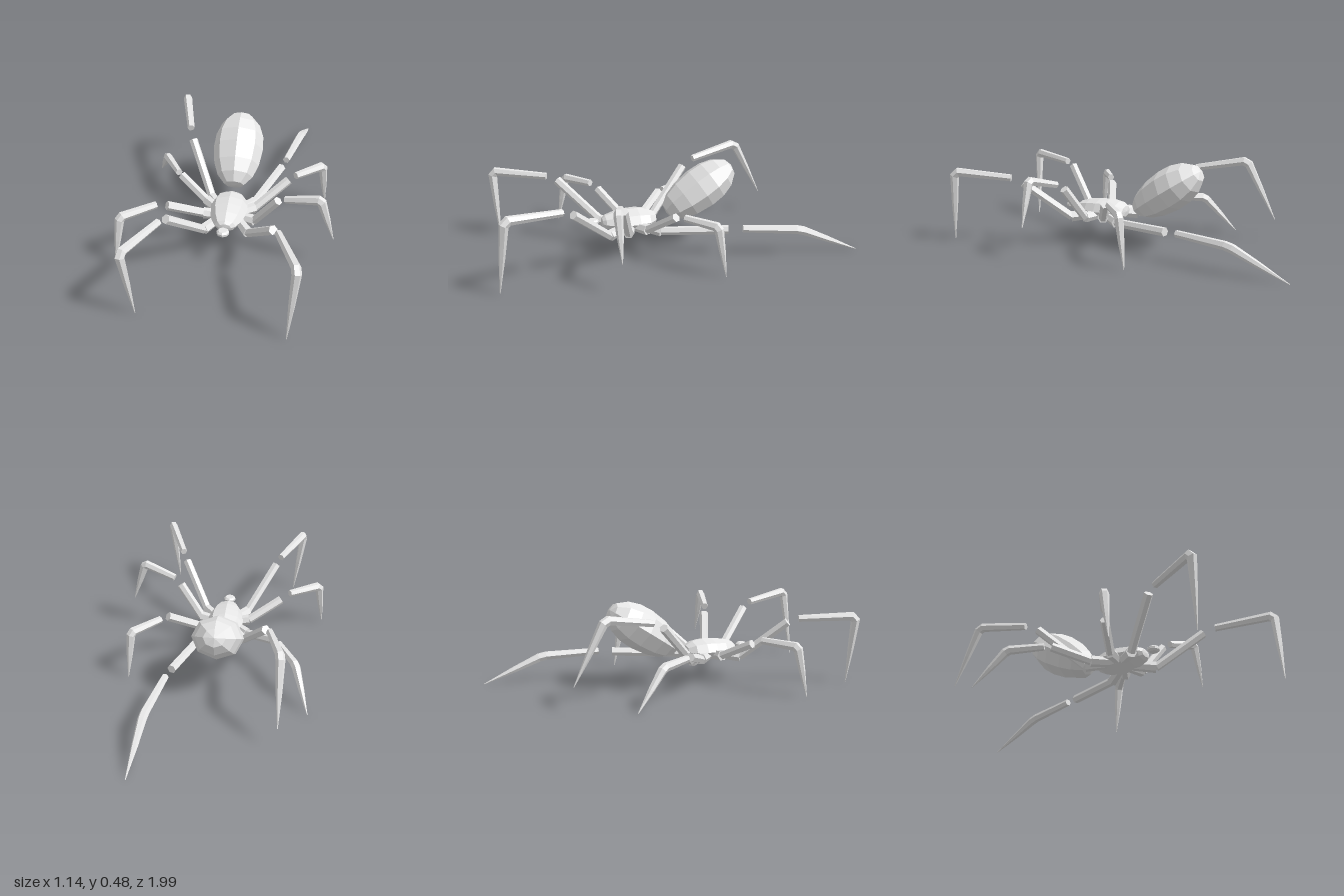
import * as THREE from 'three';

const grey = new THREE.MeshStandardMaterial({ color: 0xe7e7e7 });
grey.name = 'paleGrey';
grey.flatShading = true;

// Flat-faced tube through points, with one radius per point and mitred bends
function limb(p, radii, sides = 6) {
  const last = p.length - 1;
  const across = new THREE.Vector3(0, 1, 0).cross(p[last].clone().sub(p[0])).normalize();
  const dir = (i) => p[i + 1].clone().sub(p[i]).normalize();
  const pos = [];
  const index = [];
  p.forEach((c, i) => {
    const before = dir(Math.max(i - 1, 0));
    const after = dir(Math.min(i, last - 1));
    const t = before.clone().add(after).normalize();
    const mitre = Math.min(1 / t.dot(before), 1.4);
    const n = t.clone().cross(across).normalize();
    const s = n.clone().cross(t);
    for (let j = 0; j < sides; j++) {
      const a = (j / sides) * Math.PI * 2;
      const v = c.clone()
        .addScaledVector(s, Math.cos(a) * radii[i])
        .addScaledVector(n, Math.sin(a) * radii[i] * mitre);
      pos.push(v.x, v.y, v.z);
      if (i < last) {
        const k = (j + 1) % sides;
        const q = i * sides;
        index.push(q + j, q + k, q + sides + k, q + j, q + sides + k, q + sides + j);
      }
    }
  });
  // End caps
  for (let j = 1; j < sides - 1; j++) {
    const e = last * sides;
    index.push(0, j + 1, j, e, e + j, e + j + 1);
  }
  const g = new THREE.BufferGeometry();
  g.setAttribute('position', new THREE.Float32BufferAttribute(pos, 3));
  g.setIndex(index);
  const flat = g.toNonIndexed();
  flat.computeVertexNormals();
  return flat;
}

function lathe(profile, sides) {
  return new THREE.LatheGeometry(profile.map(([r, y]) => new THREE.Vector2(r, y)), sides);
}

function add(parent, name, geometry) {
  const mesh = new THREE.Mesh(geometry, grey);
  mesh.name = name;
  parent.add(mesh);
  return mesh;
}

// Each leg: hip, upper start, upper end, lower start, knee, tip
const legs = {
  leftFrontLeg: [[.05, .15, .26], [.12, .14, .36], [.27, .34, .58], [.30, .37, .64], [.415, .40, .945], [.38, 0, .985]],
  leftSecondLeg: [[.05, .15, .23], [.14, .15, .26], [.27, .33, .315], [.31, .36, .34], [.495, .41, .395], [.57, .17, .395]],
  leftThirdLeg: [[.05, .15, .20], [.13, .155, .15], [.305, .28, .04], [.34, .285, 0], [.485, .275, -.135], [.507, 0, -.175]],
  leftRearLeg: [[.05, .15, .17], [.12, .135, .07], [.24, .15, -.28], [.262, .155, -.355], [.325, .14, -.67], [.36, 0, -1]],
  rightFrontLeg: [[-.05, .15, .26], [-.12, .14, .36], [-.275, .35, .575], [-.30, .37, .63], [-.43, .385, .92], [-.38, 0, .90]],
  rightSecondLeg: [[-.05, .15, .23], [-.14, .16, .24], [-.32, .255, .33], [-.37, .28, .365], [-.54, .27, .485], [-.57, 0, .53]],
  rightThirdLeg: [[-.05, .15, .20], [-.14, .15, .11], [-.305, .21, -.03], [-.33, .21, -.06], [-.43, .20, -.235], [-.508, 0, -.405]],
  rightRearLeg: [[-.05, .15, .17], [-.12, .14, .06], [-.26, .37, -.165], [-.285, .405, -.235], [-.355, .455, -.52], [-.36, .13, -.69]],
};

export function createModel() {
  const model = new THREE.Group();
  model.name = 'spider';

  // Tilted egg-shaped abdomen
  const abdomen = add(model, 'abdomen', lathe([
    [0, 0], [.055, .008], [.1, .06], [.128, .135], [.142, .235],
    [.136, .315], [.11, .385], [.06, .44], [0, .455],
  ], 8));
  abdomen.scale.z = .84;
  abdomen.rotation.x = -.99;
  abdomen.position.set(-.005, .19, .005);

  // Flattened front body, narrowing to the front
  const thorax = add(model, 'frontBody', lathe([
    [0, 0], [.05, .006], [.086, .045], [.103, .105],
    [.1, .165], [.085, .23], [.058, .288], [.035, .305], [0, .308],
  ], 8));
  thorax.scale.z = .62;
  thorax.rotation.x = Math.PI / 2;
  thorax.position.set(-.005, .173, .07);

  // Small flat head knob
  const head = add(model, 'head', lathe([
    [0, 0], [.024, 0], [.034, .009], [.034, .021], [.024, .03], [0, .03],
  ], 8));
  head.position.set(-.007, .165, .427);

  // Legs, with open gaps between upper and lower parts and a bevelled knee
  for (const [name, points] of Object.entries(legs)) {
    const [hip, start, end, low, knee, tip] = points.map((a) => new THREE.Vector3(...a));
    const leg = new THREE.Group();
    leg.name = name;
    add(leg, 'hip', limb([hip, start], [.026, .031]));
    add(leg, 'upperLeg', limb([start, end], [.024, .025]));
    add(leg, 'lowerLeg', limb([
      low, low.clone().lerp(knee, .93), knee.clone().lerp(tip, .06), knee.clone().lerp(tip, .5), tip,
    ], [.02, .025, .025, .017, .002]));
    model.add(leg);
  }
  return model;
}
